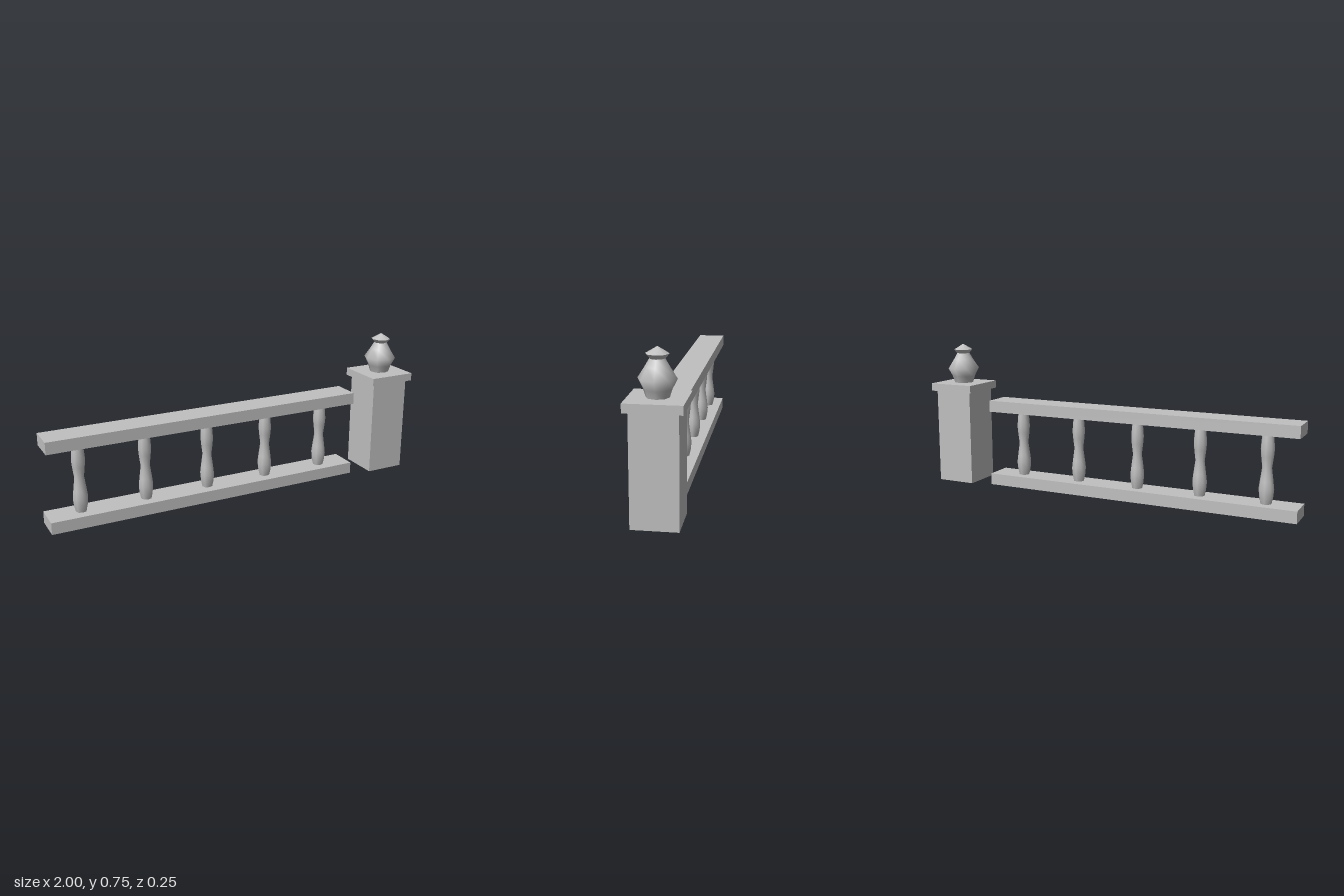
import * as THREE from 'three';

const stone = new THREE.MeshStandardMaterial({ color: 0xc0c0c0 });
stone.name = 'stone grey';

function add(parent, name, geometry, x, y, z = 0) {
  const mesh = new THREE.Mesh(geometry, stone);
  mesh.name = name;
  mesh.position.set(x, y, z);
  parent.add(mesh);
  return mesh;
}

// Eight-sided turned part from [radius, height] pairs, bottom to top
function turned(profile) {
  return new THREE.LatheGeometry(profile.map(([r, y]) => new THREE.Vector2(r, y)), 8);
}

export function createModel() {
  const model = new THREE.Group();
  model.name = 'balustrade';

  // Rails
  const length = 1.665;
  const railX = -1 + length / 2;
  add(model, 'bottomRail', new THREE.BoxGeometry(length, 0.06, 0.145), railX, 0.03);
  add(model, 'topRail', new THREE.BoxGeometry(length, 0.06, 0.145), railX, 0.43);

  // Five evenly spaced balusters
  const baluster = turned([
    [0.027, 0.06], [0.034, 0.09], [0.038, 0.13], [0.033, 0.17],
    [0.024, 0.235], [0.031, 0.29], [0.034, 0.325], [0.031, 0.365], [0.027, 0.4],
  ]);
  const count = 5;
  for (let i = 0; i < count; i++) {
    add(model, 'baluster', baluster, -1 + (length * (i + 0.5)) / count, 0);
  }

  // End post with its cap slab
  const post = new THREE.Group();
  post.name = 'endPost';
  post.position.x = 0.875;
  model.add(post);
  add(post, 'postShaft', new THREE.BoxGeometry(0.208, 0.5, 0.208), 0, 0.25);
  add(post, 'postCap', new THREE.BoxGeometry(0.25, 0.04, 0.25), 0, 0.52);

  // Urn finial: body, flared neck and pointed lid
  add(post, 'urnBody', turned([
    [0.05, 0.54], [0.061, 0.575], [0.083, 0.618], [0.052, 0.667], [0.033, 0.7],
  ]), 0, 0);
  add(post, 'urnNeck', turned([[0.033, 0.7], [0.05, 0.72]]), 0, 0);
  add(post, 'urnLid', turned([[0.05, 0.72], [0, 0.75]]), 0, 0);

  return model;
}
